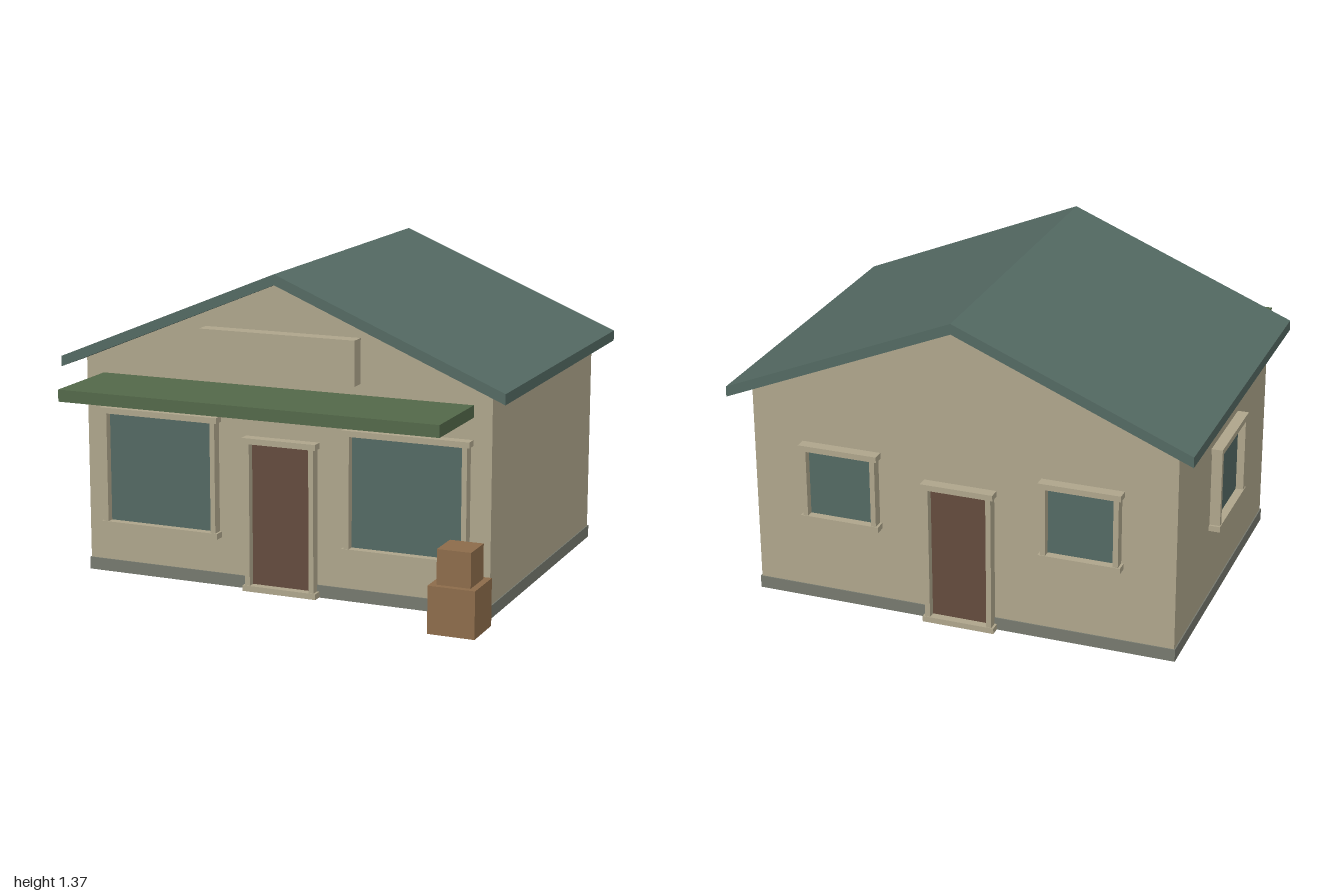
import * as THREE from 'three';

const mat = (name, color) => {
  const m = new THREE.MeshStandardMaterial({ color });
  m.name = name;
  return m;
};

export function createModel() {
  const house = new THREE.Group();
  house.name = 'cottageShop';

  const wall = mat('tan wall', 0xb0a78d);
  const roofGreen = mat('slate green roof', 0x546a63);
  const glass = mat('window glass', 0x546a64);
  const stone = mat('grey foundation', 0x777a6f);
  const doorBrown = mat('door brown', 0x654c3e);
  const awningGreen = mat('awning green', 0x54694a);
  const crateBrown = mat('crate brown', 0x8e6d4b);

  const FRONT = 0.52, BACK = -0.83, SIDE = 0.92;
  const MID_Z = (FRONT + BACK) / 2;

  const add = (name, geometry, material, parent = house) => {
    const mesh = new THREE.Mesh(geometry, material);
    mesh.name = name;
    parent.add(mesh);
    return mesh;
  };

  // Box given by its minimum and maximum corners
  const box = (name, [x0, y0, z0], [x1, y1, z1], material, parent) => {
    const mesh = add(name, new THREE.BoxGeometry(x1 - x0, y1 - y0, z1 - z0), material, parent);
    mesh.position.set((x0 + x1) / 2, (y0 + y1) / 2, (z0 + z1) / 2);
    return mesh;
  };

  // Outline in x and y, extruded between two z values
  const prism = (name, points, z0, z1, material) => {
    const shape = new THREE.Shape(points.map(([x, y]) => new THREE.Vector2(x, y)));
    const geometry = new THREE.ExtrudeGeometry(shape, { depth: z1 - z0, bevelEnabled: false });
    geometry.translate(0, 0, z0);
    return add(name, geometry, material);
  };

  // Gabled body, foundation band and roof
  prism('walls', [[-SIDE, 0], [SIDE, 0], [SIDE, 0.944], [0, 1.326], [-SIDE, 0.944]], BACK, FRONT, wall);
  box('foundation', [-0.925, 0.001, BACK - 0.005], [0.925, 0.055, FRONT + 0.005], stone);
  prism('roof', [[-1, 0.912], [0, 1.326], [1, 0.912], [1, 0.957], [0, 1.371], [-1, 0.957]], -0.91, 0.6, roofGreen);

  // Awning and blank sign board
  box('awning', [-0.84, 0.832, FRONT], [0.84, 0.883, 0.91], awningGreen);
  box('signBoard', [-0.35, 0.93, FRONT], [0.35, 1.12, 0.585], wall);

  // Framed opening, built facing +z with its wall at z = 0
  const opening = (name, width, y0, y1, paneName, paneMaterial) => {
    const group = new THREE.Group();
    group.name = name;
    const h = width / 2, t = 0.025, d = 0.045;
    box(paneName, [-h + 0.02, y0 + 0.01, 0.003], [h - 0.02, y1 - 0.01, 0.012], paneMaterial, group);
    for (const s of [-1, 1]) {
      const jamb = box('jamb', [h - 0.032, y0 + t, 0], [h - 0.01, y1 - t, d], wall, group);
      jamb.position.x *= s;
    }
    box('lintel', [-h, y1 - t, 0], [h, y1, d + 0.003], wall, group);
    box('sill', [-h, y0, 0], [h, y0 + t, d + 0.003], wall, group);
    house.add(group);
    return group;
  };

  // Front: two shop windows and a door
  for (const s of [-1, 1])
    opening('shopWindow', 0.555, 0.213, 0.74, 'glassPane', glass).position.set(s * 0.5625, 0, FRONT);
  opening('frontDoor', 0.335, 0.002, 0.667, 'doorPanel', doorBrown).position.z = FRONT;

  // Back: two small windows and a door
  const rear = [
    opening('backWindow', 0.35, 0.38, 0.725, 'glassPane', glass),
    opening('backWindow', 0.35, 0.38, 0.725, 'glassPane', glass),
    opening('backDoor', 0.315, 0.002, 0.637, 'doorPanel', doorBrown),
  ];
  rear.forEach((group, i) => {
    group.position.set([0.525, -0.525, 0][i], 0, BACK);
    group.rotation.y = Math.PI;
  });

  // Single window in the right wall
  const sideWindow = opening('sideWindow', 0.41, 0.365, 0.74, 'glassPane', glass);
  sideWindow.position.set(-SIDE, 0, MID_Z);
  sideWindow.rotation.y = -Math.PI / 2;

  // Stacked crates beside the entrance
  box('lowerCrate', [0.755, 0, 0.6], [0.955, 0.2, 0.8], crateBrown);
  box('upperCrate', [0.783, 0.2, 0.625], [0.927, 0.347, 0.773], crateBrown);

  return house;
}
